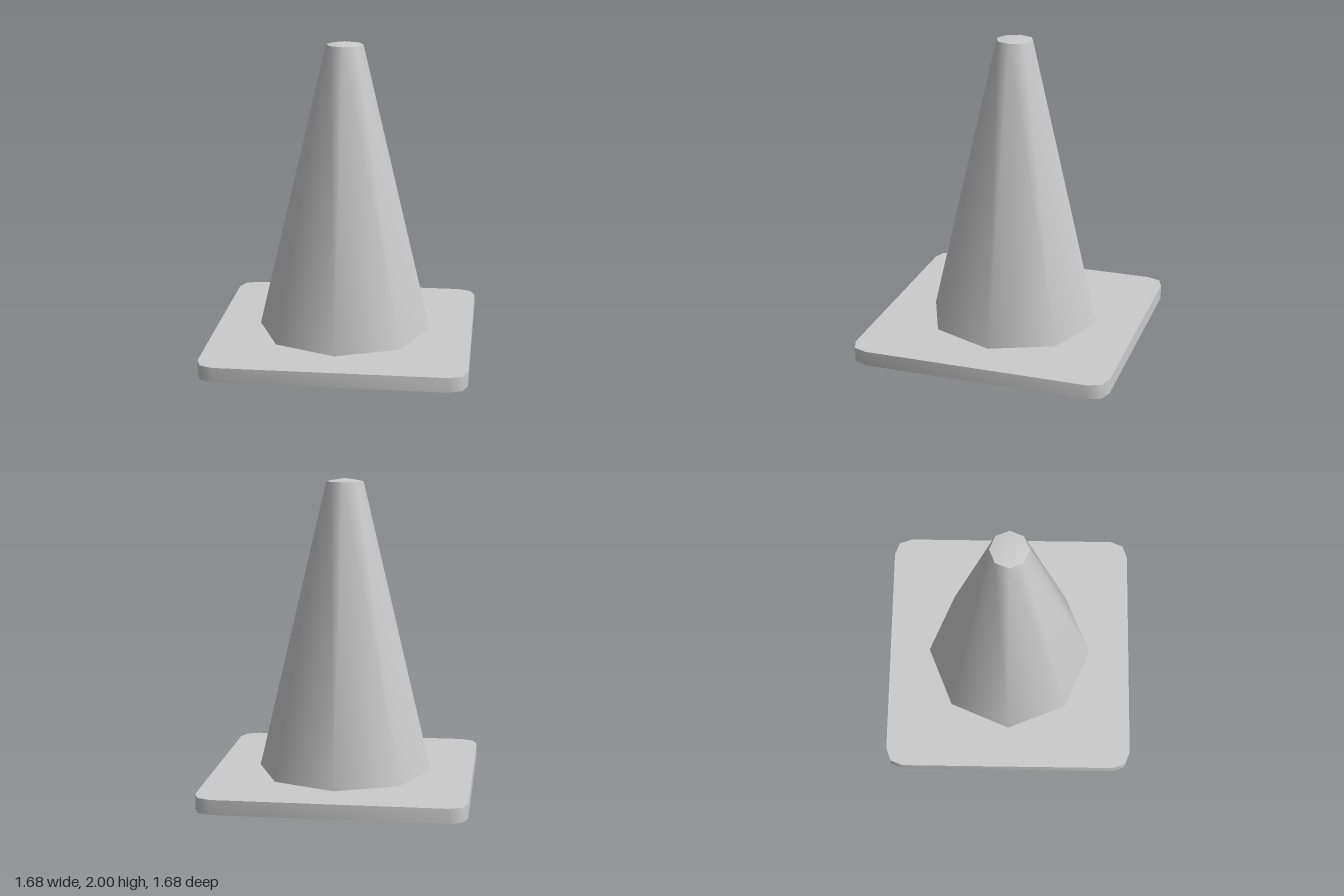
import * as THREE from 'three';
import { toCreasedNormals } from 'three/addons/utils/BufferGeometryUtils.js';

const SIDES = 8;
const BASE_TOP = 0.095;
const HOLE_RADIUS = 0.43;
const material = new THREE.MeshStandardMaterial({ color: 0xcccccc });

function part(name, geometry) {
  const mesh = new THREE.Mesh(toCreasedNormals(geometry, 1), material);
  mesh.name = name;
  return mesh;
}

// Eight-sided turned surface; a rising profile faces outward, a falling one inward
function turned(profile) {
  return new THREE.LatheGeometry(profile.map(([r, y]) => new THREE.Vector2(r, y)), SIDES);
}

// Square plate with softened corners and an octagonal opening
function basePlate() {
  const corner = [[0.842, 0.725], [0.81, 0.81], [0.725, 0.842]];
  const outline = [];
  for (let i = 0; i < 4; i++) {
    for (const [x, y] of corner) {
      outline.push(new THREE.Vector2(x, y).rotateAround(new THREE.Vector2(), i * Math.PI / 2));
    }
  }
  const shape = new THREE.Shape(outline);
  const opening = [];
  for (let i = 0; i < SIDES; i++) {
    const a = -i * Math.PI * 2 / SIDES;
    opening.push(new THREE.Vector2(HOLE_RADIUS * Math.cos(a), HOLE_RADIUS * Math.sin(a)));
  }
  shape.holes.push(new THREE.Path(opening));
  return new THREE.ExtrudeGeometry(shape, { depth: BASE_TOP, bevelEnabled: false })
    .rotateX(-Math.PI / 2);
}

export function createModel() {
  const group = new THREE.Group();
  group.name = 'trafficCone';
  group.add(
    part('basePlate', basePlate()),
    // Tapered body with a slightly peaked tip
    part('coneBody', turned([[0.565, BASE_TOP], [0.12, 1.98], [0, 2]])),
    // Hollow inside, open at the bottom
    part('coneHollow', turned([[0, 1.9], [0.06, 1.88], [HOLE_RADIUS, 0]])),
  );
  return group;
}
